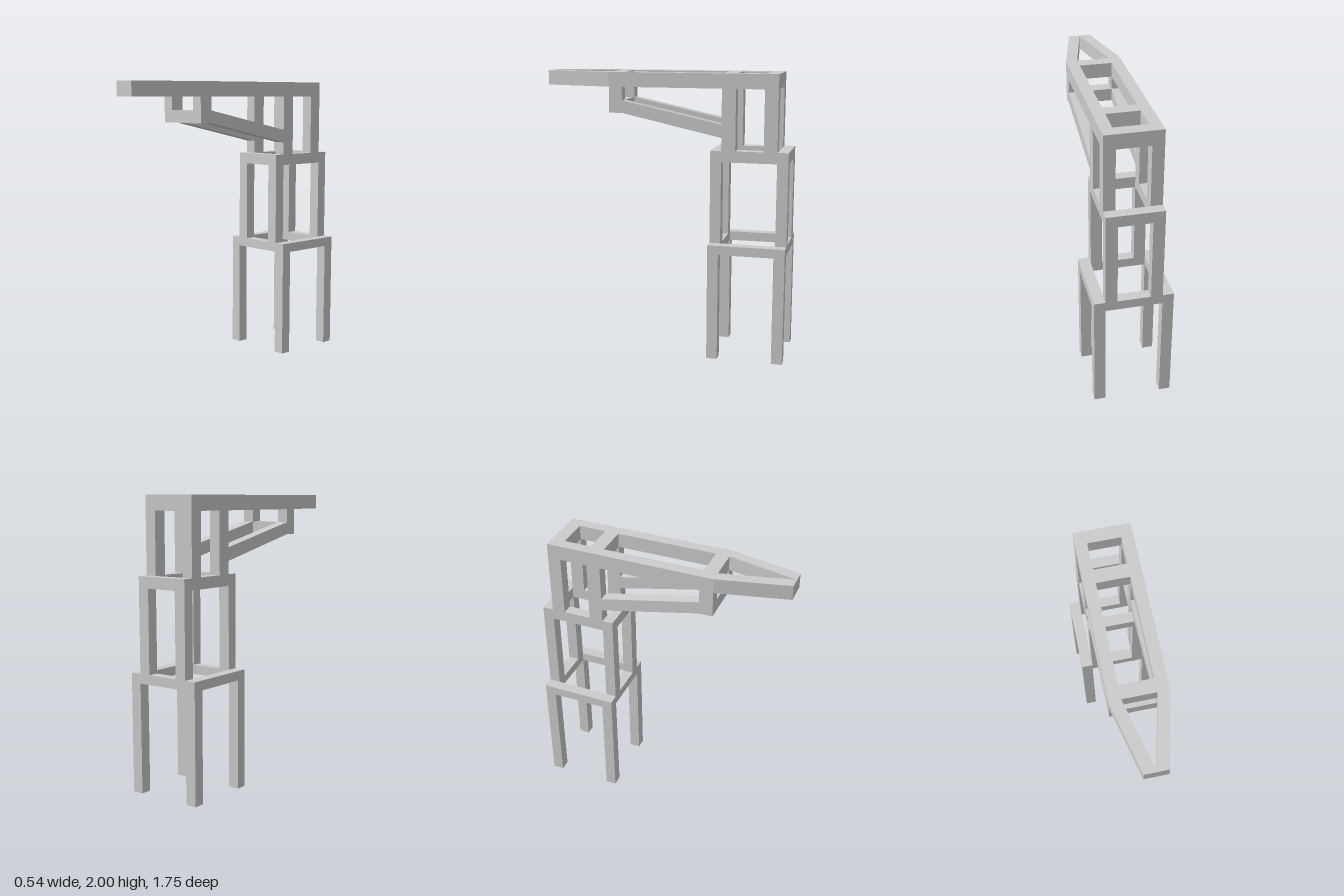
import * as THREE from 'three';

const material = new THREE.MeshStandardMaterial({ color: 0xcccccc, flatShading: true });

// Plan (x, z) outline with holes, extruded upward from y0 to y1.
// Outlines run from front to back along +x so that holes are wound inward.
function slab(name, outline, holes, y0, y1) {
  const pts = (list) => list.map(([x, z]) => new THREE.Vector2(x, -z));
  const shape = new THREE.Shape(pts(outline));
  holes.forEach((h) => shape.holes.push(new THREE.Path(pts(h))));
  const geo = new THREE.ExtrudeGeometry(shape, { depth: y1 - y0, bevelEnabled: false });
  geo.rotateX(-Math.PI / 2).translate(0, y0, 0);
  const mesh = new THREE.Mesh(geo, material);
  mesh.name = name;
  return mesh;
}

const rect = (x, z0, z1) => [[-x, z1], [x, z1], [x, z0], [-x, z0]];

// Box given by its limits on each axis
function bar(name, x0, x1, y0, y1, z0, z1) {
  const geo = new THREE.BoxGeometry(x1 - x0, y1 - y0, z1 - z0);
  geo.translate((x0 + x1) / 2, (y0 + y1) / 2, (z0 + z1) / 2);
  const mesh = new THREE.Mesh(geo, material);
  mesh.name = name;
  return mesh;
}

// Matching bars on the left (+x) and right (-x)
function barPair(name, x0, x1, y0, y1, z0, z1) {
  const group = new THREE.Group();
  group.name = name;
  group.add(bar(name + 'Left', x0, x1, y0, y1, z0, z1));
  group.add(bar(name + 'Right', -x1, -x0, y0, y1, z0, z1));
  return group;
}

export function createModel() {
  const model = new THREE.Group();
  model.name = 'tower';
  const outer = 0.27, mid = 0.193, inner = 0.113;
  const back = -0.875, backIn = -0.798, frontIn = -0.413, front = -0.337;

  // Two stacked tiers: four legs topped by a square frame
  const tiers = [
    ['lower', outer, mid, 0, 0.76, 0.825],
    ['middle', mid, inner, 0.825, 1.397, 1.475],
  ];
  for (const [name, xo, xi, y0, y1, y2] of tiers) {
    model.add(barPair(name + 'BackLegs', xi, xo, y0, y1, back, backIn));
    model.add(barPair(name + 'FrontLegs', xi, xo, y0, y1, frontIn, front));
    model.add(slab(name + 'Frame', rect(xo, back, front), [rect(xi, backIn, frontIn)], y1, y2));
  }

  // Posts carrying the boom
  const deck = 1.898;
  model.add(barPair('upperBackPosts', inner, mid, 1.475, deck, backIn, -0.705));
  model.add(barPair('upperFrontPosts', inner, mid, 1.475, deck, -0.51, frontIn));

  // Boom with two openings and a tapering forked nose
  const zHang = 0.293, zBend = 0.387, zTip = 0.875, tip = 0.08;
  model.add(slab('boom',
    [[-mid, zBend], [-tip, zTip], [tip, zTip], [mid, zBend], [mid, backIn], [-mid, backIn]],
    [rect(inner, -0.705, -0.51), rect(inner, frontIn, zHang),
      [[-inner, zBend], [0, zTip - 0.002], [inner, zBend]]],
    deck, 2));

  // Hanging frame under the boom
  model.add(barPair('hangerPosts', inner, mid, 1.805, deck, zHang, zBend));
  model.add(bar('hangerCrossbar', -mid, mid, 1.718, 1.805, zHang, zBend));

  // Sloping braces from hanger back to the front posts
  const profile = new THREE.Shape([
    new THREE.Vector2(frontIn, 1.564), new THREE.Vector2(zHang, 1.718),
    new THREE.Vector2(zHang, 1.805), new THREE.Vector2(frontIn, 1.655),
  ]);
  for (const [name, x] of [['braceLeft', mid], ['braceRight', -inner]]) {
    const geo = new THREE.ExtrudeGeometry(profile, { depth: mid - inner, bevelEnabled: false });
    geo.rotateY(-Math.PI / 2).translate(x, 0, 0);
    const brace = new THREE.Mesh(geo, material);
    brace.name = name;
    model.add(brace);
  }
  return model;
}
